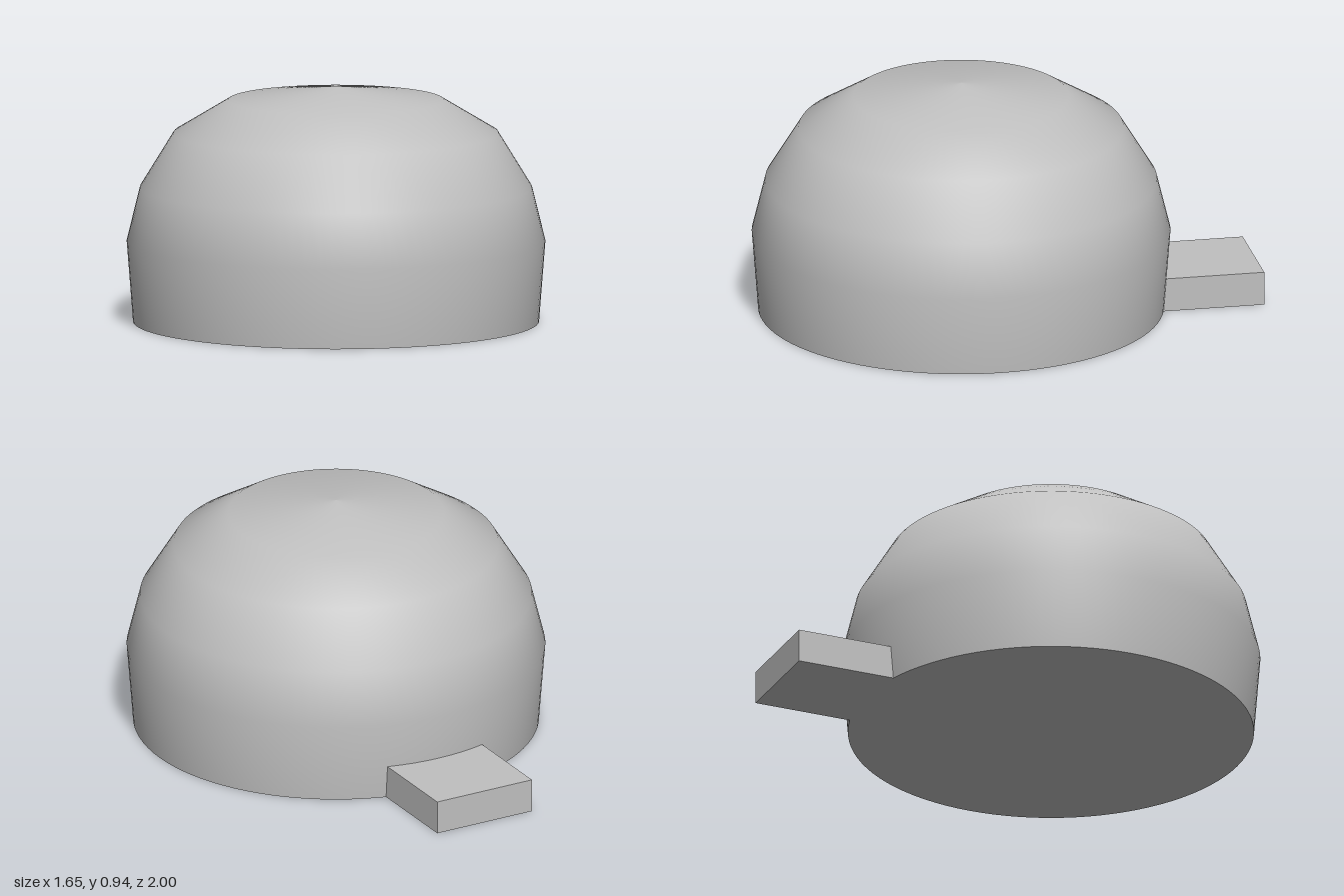
import * as THREE from 'three';

export function createModel() {
  const model = new THREE.Group();
  const grey = new THREE.MeshStandardMaterial({ color: 0xc0c0c0 });
  grey.name = 'light grey';
  const centreZ = 0.175;
  const baseRadius = 0.8;
  const segments = 96;

  const add = (name, geometry, x, y, z) => {
    const mesh = new THREE.Mesh(geometry, grey);
    mesh.name = name;
    mesh.position.set(x, y, z);
    model.add(mesh);
  };

  // Smooth dome, bulging slightly above its base, with a shallow pointed cap
  const profile = [
    [baseRadius, 0], [0.825, 0.32], [0.772, 0.535],
    [0.64, 0.75], [0.425, 0.88], [0, 0.935],
  ].map(([r, y]) => new THREE.Vector2(r, y));
  add('dome', new THREE.LatheGeometry(profile, segments, Math.PI / 2), 0, 0, centreZ);

  // Flat underside closing the dome
  const underside = new THREE.CircleGeometry(baseRadius, segments).rotateX(Math.PI / 2);
  add('underside', underside, 0, 0, centreZ);

  // Rectangular tab at the back, its inner end sunk into the dome
  const tabFront = -0.58;
  const tabLength = 1 + tabFront;
  const tab = new THREE.BoxGeometry(0.43, 0.135, tabLength);
  add('rearTab', tab, 0, 0.0675, -1 + tabLength / 2);

  return model;
}
